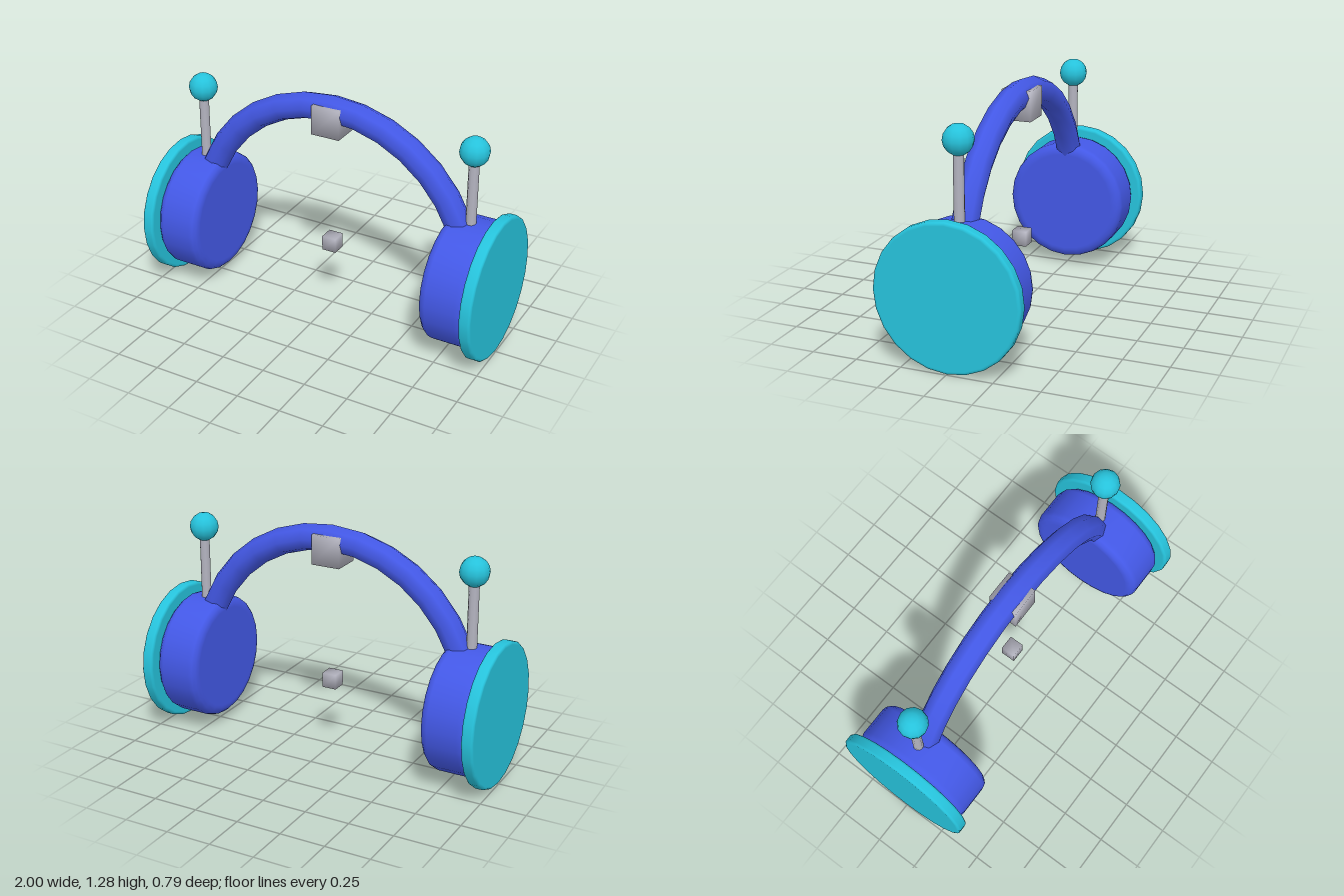
import * as THREE from 'three';
import { mergeVertices } from 'three/addons/utils/BufferGeometryUtils.js';

const blue = new THREE.MeshStandardMaterial({ name: 'blue', color: 0x4358e6 });
const cyan = new THREE.MeshStandardMaterial({ name: 'cyan', color: 0x26c3dc });
const grey = new THREE.MeshStandardMaterial({ name: 'grey', color: 0xb4b4c0 });

const CENTRE_Y = 0.397;

// Disc along x with a rounded rim
function roundedDisc(radius, width, bevel) {
  const h = width / 2;
  const rim = [];
  for (let i = 0; i <= 3; i++) {
    const a = (i / 3) * Math.PI / 2;
    rim.push([radius - bevel + bevel * Math.cos(a), h - bevel + bevel * Math.sin(a)]);
  }
  const upper = [...rim, [radius - bevel * 1.3, h], [0, h]];
  const lower = upper.map(([r, y]) => [r, -y]).reverse();
  const points = [...lower, ...upper].map(([r, y]) => new THREE.Vector2(r, y));
  return new THREE.LatheGeometry(points, 24).rotateZ(-Math.PI / 2);
}

// Cube with shared corners, so its shading is soft
function softCube(size) {
  const box = new THREE.BoxGeometry(size, size, size);
  box.deleteAttribute('normal');
  box.deleteAttribute('uv');
  const cube = mergeVertices(box);
  cube.computeVertexNormals();
  return cube;
}

export function createModel() {
  const model = new THREE.Group();
  model.name = 'headphones';

  function add(name, geometry, material, x, y) {
    const mesh = new THREE.Mesh(geometry, material);
    mesh.name = name;
    mesh.position.set(x, y, 0);
    model.add(mesh);
  }

  // Headband arch, running down into both cups
  add('headband', new THREE.TorusGeometry(0.813, 0.074, 8, 16, Math.PI), blue, 0, CENTRE_Y);

  // Ear cups, outer plates and antennae
  const cup = roundedDisc(0.349, 0.254, 0.045);
  const plate = roundedDisc(0.396, 0.064, 0.014);
  const rod = new THREE.CylinderGeometry(0.028, 0.028, 0.5, 10);
  const ball = new THREE.SphereGeometry(0.08, 12, 8);
  for (const [side, s] of [['left', 1], ['right', -1]]) {
    add(side + 'EarCup', cup, blue, s * 0.81, CENTRE_Y);
    add(side + 'OuterPlate', plate, cyan, s * 0.968, CENTRE_Y);
    add(side + 'AntennaRod', rod, grey, s * 0.815, 0.88);
    add(side + 'AntennaBall', ball, cyan, s * 0.815, 1.156);
  }

  // Block on the crown and the small cube below it
  add('crownBlock', softCube(0.165), grey, 0, 1.156);
  add('centreCube', softCube(0.083), grey, 0, 0.4);

  return model;
}
